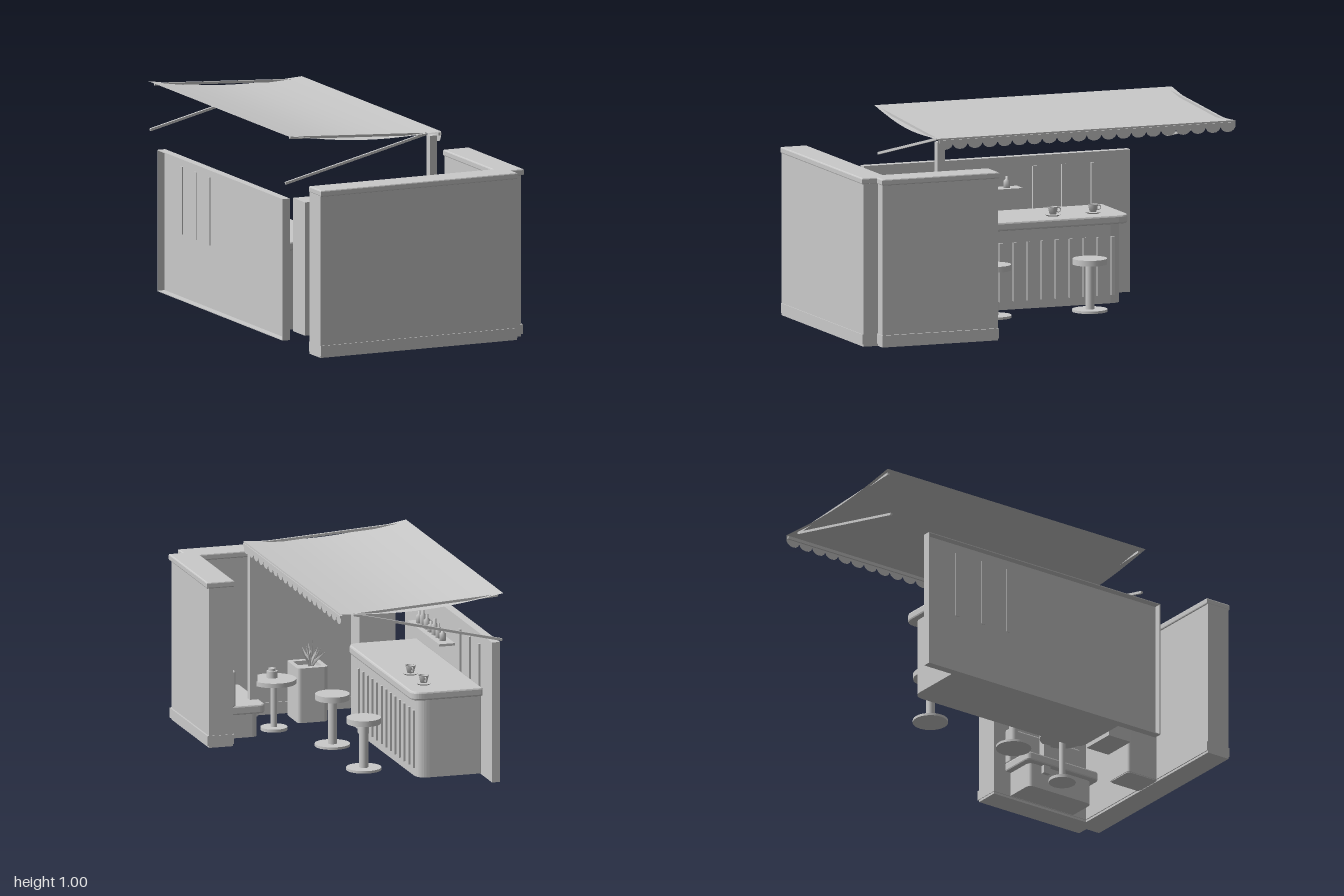
import * as THREE from 'three';
import { RoundedBoxGeometry } from 'three/addons/geometries/RoundedBoxGeometry.js';

const grey = new THREE.MeshStandardMaterial({ color: 0xcacaca, side: THREE.DoubleSide });
grey.name = 'plain grey';

export function createModel() {
  const root = new THREE.Group();
  root.name = 'cafeBar';

  const add = (name, geometry, parent = root) => {
    const mesh = new THREE.Mesh(geometry, grey);
    mesh.name = name;
    parent.add(mesh);
    return mesh;
  };
  // Box given by its limits on each axis
  const box = (name, x0, x1, y0, y1, z0, z1, radius = 0) => {
    const size = [x1 - x0, y1 - y0, z1 - z0];
    const g = radius ? new RoundedBoxGeometry(...size, 2, radius) : new THREE.BoxGeometry(...size);
    return add(name, g.translate((x0 + x1) / 2, (y0 + y1) / 2, (z0 + z1) / 2));
  };
  const disc = (name, x, z, y0, y1, r, r2 = r, parent = root) =>
    add(name, new THREE.CylinderGeometry(r2, r, y1 - y0, 28).translate(x, (y0 + y1) / 2, z), parent);
  // Horizontal slab from a plan shape drawn with y = -z
  const slab = (name, shape, y0, y1, bevel = 0) => {
    const g = new THREE.ExtrudeGeometry(shape, {
      depth: y1 - y0 - 2 * bevel, curveSegments: 8, bevelEnabled: bevel > 0,
      bevelSize: bevel, bevelOffset: -bevel, bevelThickness: bevel, bevelSegments: 2,
    });
    return add(name, g.rotateX(-Math.PI / 2).translate(0, y0 + bevel, 0));
  };
  // Rounded rectangle in plan, one radius for the left corners and one for the right
  const plan = (x0, x1, z0, z1, rl, rr = rl) => {
    const s = new THREE.Shape();
    const a = -z1, b = -z0;
    s.moveTo(x0 + rl, a).lineTo(x1 - rr, a).quadraticCurveTo(x1, a, x1, a + rr);
    s.lineTo(x1, b - rr).quadraticCurveTo(x1, b, x1 - rr, b);
    s.lineTo(x0 + rl, b).quadraticCurveTo(x0, b, x0, b - rl);
    s.lineTo(x0, a + rl).quadraticCurveTo(x0, a, x0 + rl, a);
    return s;
  };
  // Square bar between two points
  const bar = (name, from, to, thick) => {
    const a = new THREE.Vector3(...from), b = new THREE.Vector3(...to);
    const m = add(name, new THREE.BoxGeometry(thick, thick, a.distanceTo(b)));
    m.position.copy(a).lerp(b, 0.5);
    m.lookAt(b);
  };

  // L-shaped corner wall: body, skirting and cap, set in by d on the long faces
  const corner = (d) => new THREE.Shape([
    [-0.556, 1 - d / 2], [0.488, 1 - d / 2], [0.488, 0.925 - d / 2], [0.558 - d, 0.925 - d / 2],
    [0.558 - d, 0.32 + d / 3], [0.42 + d / 2, 0.32 + d / 3], [0.42 + d / 2, 0.865 + d / 2], [-0.556, 0.865 + d / 2],
  ].map(([x, z]) => new THREE.Vector2(x, -z)));
  slab('cornerWall', corner(0.012), 0.007, 0.795);
  slab('wallSkirting', corner(0.003), 0.018, 0.066);
  slab('wallCap', corner(0), 0.792, 0.823, 0.006);

  // Back wall: a thin panel with a rim, open on the outside
  box('backWallPanel', -0.525, -0.52, 0.02, 0.71, -0.79, 0.585);
  for (const y of [0.02, 0.706]) box('backWallRim', -0.56, -0.52, y, y + 0.004, -0.79, 0.585);
  for (const z of [-0.79, 0.581]) box('backWallRim', -0.56, -0.52, 0.02, 0.71, z, z + 0.004);
  for (const z of [-0.295, -0.445, -0.597])
    box('wallBatten', -0.529, -0.511, 0.33, 0.66, z - 0.011, z + 0.011);

  // Shelf and bottles
  box('bottleShelf', -0.52, -0.44, 0.557, 0.569, -0.205, 0.29);
  [0.058, 0.082, 0.07, 0.052, 0.078, 0.07, 0.055].forEach((h, i) => {
    const points = [[0, 0], [0.016, 0], [0.016, h * 0.62], [0.007, h * 0.75], [0.007, h], [0, h]];
    const g = new THREE.LatheGeometry(points.map(([r, y]) => new THREE.Vector2(r, y)), 16);
    add('bottle', g).position.set(-0.48, 0.569, 0.232 - i * 0.0615);
  });

  // Bar counter with ribbed front
  slab('counterBody', plan(-0.52, -0.2, -0.62, 0.37, 0.005, 0.06), 0.025, 0.42);
  slab('counterTop', plan(-0.52, -0.165, -0.65, 0.385, 0.01, 0.06), 0.412, 0.455, 0.009);
  for (let i = 0; i < 13; i++) {
    const z = 0.298 - i * 0.0722;
    box('counterRib', -0.205, -0.19, 0.065, 0.35, z - 0.009, z + 0.009);
  }

  // Cups on saucers
  for (const z of [-0.29, -0.497]) {
    const cup = new THREE.Group();
    cup.name = 'cup';
    cup.position.set(-0.27, 0.455, z);
    root.add(cup);
    disc('saucer', 0, 0, 0, 0.007, 0.03, 0.038, cup);
    const profile = [[0, 0.008], [0.016, 0.008], [0.025, 0.044], [0.022, 0.044], [0.014, 0.012], [0, 0.012]];
    add('cupBowl', new THREE.LatheGeometry(profile.map(([r, y]) => new THREE.Vector2(r, y)), 20), cup);
    const handle = add('cupHandle', new THREE.TorusGeometry(0.011, 0.003, 6, 14), cup);
    handle.rotation.y = Math.PI / 2;
    handle.position.set(0, 0.028, -0.028);
  }

  // Bar stools
  for (const z of [0.12, -0.375]) {
    disc('stoolBase', -0.008, z, 0.025, 0.037, 0.085);
    disc('stoolPole', -0.008, z, 0.035, 0.26, 0.022);
    disc('stoolSeat', -0.008, z, 0.254, 0.282, 0.083);
  }

  // Cabinet at the end of the counter
  box('cabinet', -0.41, -0.23, 0.02, 0.67, 0.39, 0.52);

  // Round table with a small jar
  disc('tableBase', 0.155, 0.53, 0.02, 0.035, 0.065);
  disc('tablePole', 0.155, 0.53, 0.03, 0.26, 0.016);
  disc('tableTop', 0.155, 0.53, 0.25, 0.272, 0.108);
  disc('jar', 0.157, 0.552, 0.272, 0.305, 0.026);
  disc('jarLid', 0.157, 0.552, 0.305, 0.318, 0.017);

  // Wall bench
  slab('benchBase', plan(0.27, 0.425, 0.42, 0.79, 0.03, 0.005), 0.02, 0.15);
  slab('benchSeat', plan(0.24, 0.425, 0.39, 0.815, 0.03, 0.005), 0.14, 0.185, 0.008);
  box('benchBack', 0.39, 0.428, 0.18, 0.36, 0.39, 0.815, 0.01);

  // Planter with leaves
  const rim = plan(-0.168, -0.014, 0.683, 0.862, 0.022);
  rim.holes.push(plan(-0.145, -0.037, 0.715, 0.83, 0.012));
  slab('planterWalls', rim, 0.004, 0.27);
  slab('planterFloor', plan(-0.165, -0.017, 0.686, 0.859, 0.022), 0, 0.01);
  slab('planterSoil', plan(-0.146, -0.036, 0.714, 0.831, 0.012), 0.22, 0.25);
  for (let i = 0; i < 14; i++) {
    const leaf = add('leaf', new THREE.ConeGeometry(0.012, 0.1, 5).scale(1, 1, 0.3).translate(0, 0.05, 0));
    leaf.position.set(-0.11, 0.25 + (i % 4) * 0.012, 0.775);
    leaf.rotation.set(0, i * 2.4, 0.25 + (i % 3) * 0.28, 'YXZ');
  }

  // Awning sheet, sagging between its edges
  const sheet = new THREE.PlaneGeometry(0.815, 1.535, 12, 1).rotateX(-Math.PI / 2).translate(-0.1025, 0, -0.2325);
  const p = sheet.attributes.position;
  for (let i = 0; i < p.count; i++) {
    const t = (p.getX(i) + 0.51) / 0.815;
    p.setY(i, 1.004 - 0.045 * t - 0.03 * Math.sin(Math.PI * t));
  }
  sheet.computeVertexNormals();
  add('awningSheet', sheet);

  // Scalloped valance along the awning front
  const edge = new THREE.Shape();
  const count = 20, pitch = 1.535 / count;
  edge.moveTo(-1, 0.96).lineTo(-1, 0.93);
  for (let i = 0; i < count; i++) {
    const z = -1 + i * pitch;
    edge.bezierCurveTo(z + 0.008, 0.896, z + pitch - 0.008, 0.896, z + pitch, 0.93);
  }
  edge.lineTo(0.535, 0.96);
  add('awningValance', new THREE.ShapeGeometry(edge, 6).rotateY(-Math.PI / 2).translate(0.305, 0, 0));

  // Awning front rail, folding arms and post
  box('awningRail', 0.296, 0.31, 0.939, 0.952, -0.995, 0.53);
  for (const z of [-0.978, 0.512]) {
    bar('awningUpperArm', [-0.487, 0.991, z], [0.237, 0.949, z], 0.012);
    bar('awningLowerArm', [0.237, 0.949, z], [-0.51, 0.77, z], 0.012);
  }
  box('awningPost', 0.25, 0.288, 0.1, 0.94, 0.492, 0.53);

  return root;
}
